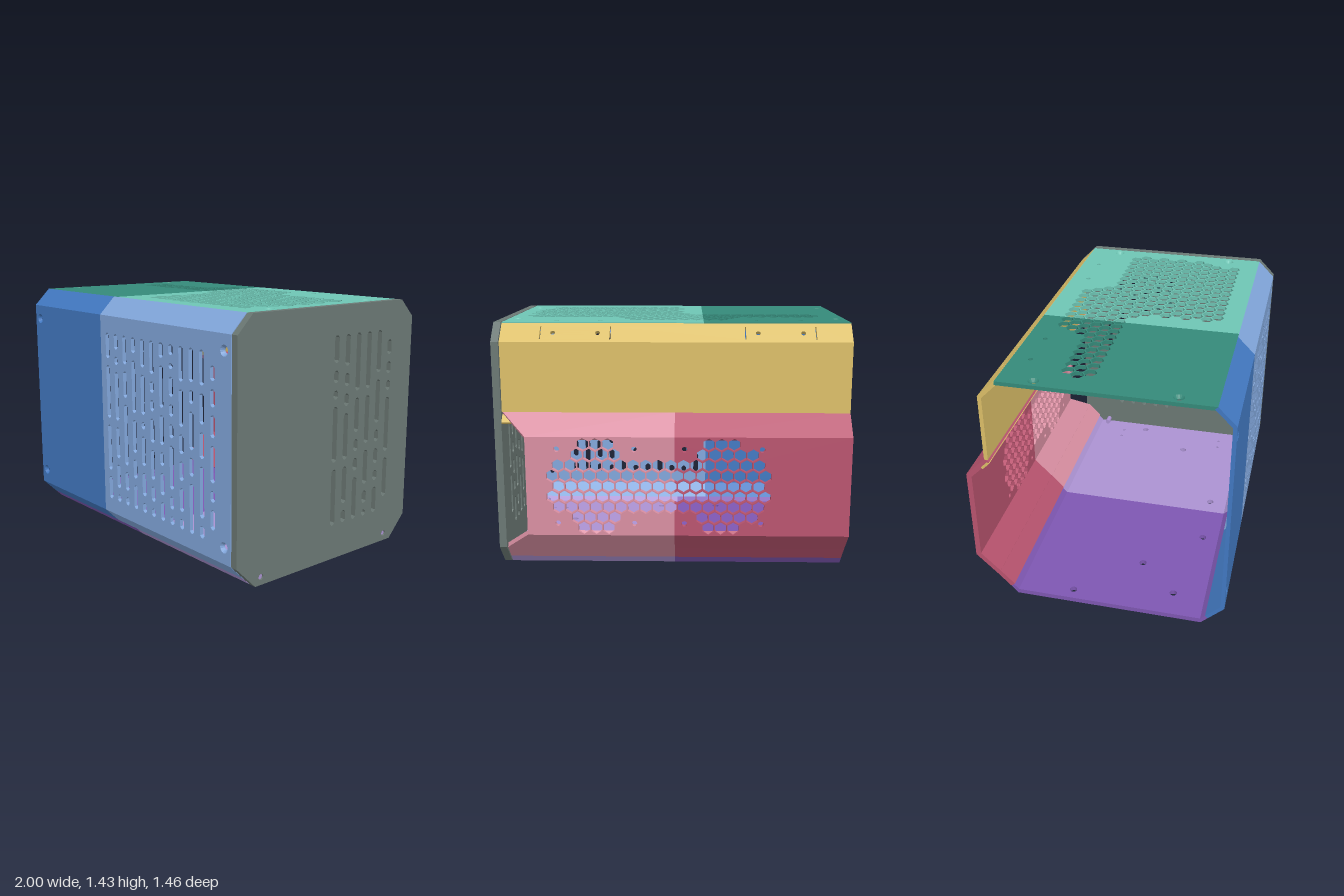
import * as THREE from 'three';

const mat = (name, color) => Object.assign(new THREE.MeshStandardMaterial({ color }), { name });
const T = 0.022; // sheet thickness
const V2 = (x, y) => new THREE.Vector2(x, y);

// ---- hole outlines (arrays of Vector2) ----
const ngon = (x, y, r, n, turn = 0) => Array.from({ length: n }, (_, i) => {
  const a = turn + (i / n) * Math.PI * 2;
  return V2(x + r * Math.cos(a), y + r * Math.sin(a));
});
const slot = (x, y0, y1, w = 0.036, c = 0.012) => {
  const h = w / 2;
  return [V2(x - h, y0 + c), V2(x - h + c, y0), V2(x + h - c, y0), V2(x + h, y0 + c),
    V2(x + h, y1 - c), V2(x + h - c, y1), V2(x - h + c, y1), V2(x - h, y1 - c)];
};
// A column of slots between lo and hi, interrupted at each bridge
const slotColumn = (x, lo, hi, bridges) => {
  const ends = [lo - 0.021, ...bridges, hi + 0.021];
  return ends.slice(1).map((e, i) => slot(x, ends[i] + 0.021, e - 0.021));
};
// Honeycomb cells whose centre satisfies the test
function honeycomb(inside) {
  const cells = [];
  for (let r = -16; r <= 16; r++) for (let c = -16; c <= 16; c++) {
    const x = (c + Math.abs(r % 2) / 2) * 0.07, y = r * 0.0606;
    if (inside(x, y)) cells.push(ngon(x, y, 0.0365, 6, Math.PI / 6));
  }
  return cells;
}
// Keep the part of a convex outline on one side of x = limit
function clip(poly, limit, side) {
  const out = [];
  poly.forEach((p, i) => {
    const q = poly[(i + 1) % poly.length];
    const dp = (p.x - limit) * side, dq = (q.x - limit) * side;
    if (dp >= 0) out.push(p);
    if (dp * dq < 0) out.push(p.clone().lerp(q, dp / (dp - dq)));
  });
  const xs = out.map(p => p.x);
  return out.length > 2 && Math.max(...xs) - Math.min(...xs) > 0.002 ? out : null;
}
function inPolygon(poly, x, y) {
  let inside = false;
  poly.forEach(([x1, y1], i) => {
    const [x2, y2] = poly[(i + 1) % poly.length];
    if ((y1 > y) !== (y2 > y) && x < ((x2 - x1) * (y - y1)) / (y2 - y1) + x1) inside = !inside;
  });
  return inside;
}

function plate(name, material, outline, holes, thickness) {
  const shape = new THREE.Shape(outline);
  holes.forEach(h => shape.holes.push(new THREE.Path(h)));
  const geo = new THREE.ExtrudeGeometry(shape, { depth: thickness, bevelEnabled: false });
  const mesh = new THREE.Mesh(geo.translate(0, 0, -thickness), material);
  mesh.name = name;
  return mesh;
}

// Sheet running along x whose section goes from a to b, both [z, y]; outer face on the local +z side.
// Two materials meet at x = split.
function strip(parent, name, mats, split, a, b, { holes = [], screws = [], t = T, end0 = 0.953, end1 = 0.953 } = {}) {
  const group = new THREE.Group();
  group.name = name;
  const v = new THREE.Vector3(0, b[1] - a[1], b[0] - a[0]), L = v.length();
  const x = new THREE.Vector3(1, 0, 0);
  v.normalize();
  group.applyMatrix4(new THREE.Matrix4().makeBasis(x, v, x.clone().cross(v)).setPosition(0, a[1], a[0]));
  const all = [...holes, ...screws.map(([sx, sv]) => ngon(sx, sv, 0.03, 16))];
  const half = (label, m, outline, limit, side) =>
    group.add(plate(name + label, m, outline, all.map(h => clip(h, limit, side)).filter(Boolean), t));
  if (mats.length === 1) {
    half('Sheet', mats[0], [V2(-1, 0), V2(end0, 0), V2(end1, L), V2(-1, L)], -2, 1);
  } else {
    half('RightHalf', mats[0], [V2(-1, 0), V2(split, 0), V2(split, L), V2(-1, L)], split - 0.0006, -1);
    half('LeftHalf', mats[1], [V2(split, 0), V2(end0, 0), V2(end1, L), V2(split, L)], split + 0.0006, 1);
  }
  // Countersunk screw seats
  screws.forEach(([sx, sv]) => {
    const ring = [[0.03, -t], [0.03, 0], [0.016, -t * 0.8], [0.016, -t], [0.03, -t]].map(p => V2(...p));
    const geo = new THREE.LatheGeometry(ring, 16).rotateX(Math.PI / 2).toNonIndexed();
    geo.computeVertexNormals();
    const seat = new THREE.Mesh(geo, mats[mats.length > 1 && sx > split ? 1 : 0]);
    seat.name = 'screwSeat';
    seat.position.set(sx, sv, 0);
    group.add(seat);
  });
  parent.add(group);
}

export function createModel() {
  const model = new THREE.Group();
  model.name = 'computerCase';
  const blue = [mat('blue', 0x4279c2), mat('lightBlue', 0x82a7dc)];
  const green = [mat('green', 0x358a7a), mat('lightGreen', 0x6ec5b4)];
  const rose = [mat('rose', 0xb9546f), mat('pink', 0xd98fa2)];
  const purple = [mat('purple', 0x7e57b2), mat('lilac', 0xab92d2)];
  const yellow = [mat('yellow', 0xdcbf68)];
  const gray = mat('gray', 0x6b7874);

  // Front panel with its two bent edges
  const frontBridges = [
    [0.38, 0.7, 1.06], [0.285, 0.47, 0.7, 1.03, 1.12], [0.29, 0.445, 0.85, 1.045], [0.385, 0.54, 0.775, 1.12],
    [0.3, 0.48, 0.695, 0.78, 1.05], [0.29, 0.42, 0.635, 0.815, 0.92, 1.025], [0.35, 0.52, 0.64, 0.85, 1.125],
    [0.29, 0.405, 0.695, 0.815, 0.925, 1.075, 1.15], [0.3, 0.475, 0.625, 0.775, 1.02], [0.52, 0.665, 0.915, 1.03],
    [0.31, 0.635, 0.82, 1.025], [0.42, 0.525, 0.765, 0.925, 1.06]];
  const frontSlots = frontBridges.flatMap((b, i) =>
    slotColumn(-0.15 + i * 0.0873, i === 11 ? 0.29 : 0.22, i === 11 ? 1.16 : 1.23, b).map(s => s.map(p => V2(p.x, p.y - 0.13))));
  strip(model, 'frontLowerBend', blue, -0.22, [0.64, 0.04], [0.73, 0.13]);
  strip(model, 'frontPanel', blue, -0.22, [0.73, 0.13], [0.73, 1.33], {
    holes: frontSlots, screws: [[-0.945, 0.09], [-0.945, 1.115], [0.9, 0.09], [0.9, 1.115]] });
  strip(model, 'frontUpperBend', blue, -0.22, [0.73, 1.33], [0.63, 1.43]);

  // Top panel with honeycomb vent
  const topVent = [[-0.86, -0.22], [-0.36, -0.24], [-0.3, -0.41], [0.22, -0.41], [0.32, -0.23], [0.8, -0.23], [0.87, -0.15],
    [0.87, 0.25], [0.76, 0.51], [-0.04, 0.51], [-0.04, 0.04], [-0.12, -0.05], [-0.82, -0.06], [-0.86, -0.1]];
  const smallX = [-0.73, -0.48, 0.41, 0.66];
  strip(model, 'topPanel', green, -0.18, [0.63, 1.43], [-0.515, 1.43], {
    holes: [...honeycomb((x, z) => inPolygon(topVent, x, z)).map(h => h.map(p => V2(p.x, 0.63 - p.y))),
      ...smallX.map(x => ngon(x, 1.04, 0.014, 10))],
    screws: [[-0.95, 0.95], [-0.95, 0.2], [0.9, 0.95], [0.9, 0.2]] });

  // Upper rear rail
  const slits = [-0.8, -0.41, 0.34, 0.73].map(x => slot(x, 0.025, 0.115, 0.006, 0.001));
  strip(model, 'rearRailBend', yellow, 0, [-0.52, 1.425], [-0.615, 1.33], {
    holes: [...slits, ...smallX.map(x => ngon(x, 0.07, 0.014, 10))] });
  strip(model, 'rearRail', yellow, 0, [-0.615, 1.33], [-0.615, 0.935]);
  strip(model, 'rearRailLip', yellow, 0, [-0.6, 0.92], [-0.64, 0.88], { t: 0.015 });

  // Rear cover: tapered slopes around a back face with two fan vents
  const fans = [0.42, -0.29], P = 0.03;
  const fanVent = (x, v) => {
    const dy = Math.abs(v);
    return fans.some(f => Math.abs(x - f) < 0.25 && dy < 0.245 && Math.abs(x - f) + dy < 0.35)
      || (x > -0.2 && x < 0.33 && dy < 0.15);
  };
  const fanScrews = fans.flatMap(f => [[-1, -1], [1, -1], [-1, 1], [1, 1]].map(([i, j]) =>
    ngon(f + i * 0.215, 0.285 + j * 0.215, 0.016, 12)));
  strip(model, 'rearCoverUpperSlope', rose, -0.02, [-0.61, 0.94], [-0.73, 0.82], { t: P, end1: 0.81 });
  strip(model, 'rearCover', rose, -0.02, [-0.73, 0.82], [-0.73, 0.25], {
    t: P, end0: 0.81, end1: 0.81,
    holes: [...honeycomb(fanVent).map(h => h.map(p => V2(p.x, p.y + 0.285))), ...fanScrews] });
  strip(model, 'rearCoverLowerSlope', rose, -0.02, [-0.73, 0.25], [-0.61, 0.13], { t: P, end0: 0.81 });
  strip(model, 'rearCoverFoot', rose, -0.02, [-0.61, 0.13], [-0.53, 0.045], { t: P });
  const tab = new THREE.Mesh(new THREE.BoxGeometry(0.04, 0.13, 0.035), rose[1]);
  tab.name = 'rearCoverTab';
  tab.position.set(0.785, 0.535, -0.687);
  model.add(tab);

  // Floor with mounting holes and two short bent edges
  const mounts = [[-0.93, -0.17], [-0.61, 0.18], [-0.83, 0.41], [-0.29, 0.5], [0.09, 0.49], [0.67, 0.2], [0.88, -0.13]];
  const pins = [[0.76, -0.29], [0.84, -0.29], [0.76, 0.44], [0.84, 0.44]];
  strip(model, 'floorRearBend', purple, -0.02, [-0.53, 0.045], [-0.49, 0]);
  strip(model, 'floor', purple, -0.02, [-0.49, 0], [0.6, 0], {
    t: 0.028, holes: [...mounts.map(([x, z]) => ngon(x, z + 0.49, 0.022, 12)), ...pins.map(([x, z]) => ngon(x, z + 0.49, 0.01, 8))] });
  strip(model, 'floorFrontBend', purple, -0.02, [0.6, 0], [0.64, 0.04]);

  // End panel with slots (local x runs towards the back)
  const sideBridges = [[0.545, 0.9, 0.99, 1.1], [0.292, 0.547, 0.852, 0.963, 1.077], [0.467, 0.58, 0.69, 0.928],
    [0.255, 0.37, 0.612, 0.93], [0.375, 0.477, 0.607, 0.717, 1.01], [0.535, 0.897, 0.995, 1.105]];
  const sideSlots = sideBridges.flatMap((b, i) =>
    slotColumn(-0.02 + i * 0.088, i === 5 ? 0.28 : 0.2, i === 5 ? 1.21 : 1.27, b));
  const outline = [[-0.73, 0.13], [-0.6, 0], [0.49, 0], [0.615, 0.13], [0.615, 1.33], [0.515, 1.43], [-0.63, 1.43], [-0.73, 1.33]];
  const screwU = [-0.56, 0.435];
  const side = plate('endPanel', gray, outline.map(p => V2(...p)),
    [...sideSlots, ...screwU.map(u => ngon(u, 0.045, 0.017, 14))], 0.042);
  side.rotation.y = Math.PI / 2;
  side.position.x = 1;
  model.add(side);
  screwU.forEach(u => {
    const screw = new THREE.Mesh(new THREE.CylinderGeometry(0.0165, 0.0165, 0.09, 14).rotateZ(Math.PI / 2), purple[1]);
    screw.name = 'endPanelScrew';
    screw.position.set(0.945, 0.045, -u);
    model.add(screw);
  });
  return model;
}
